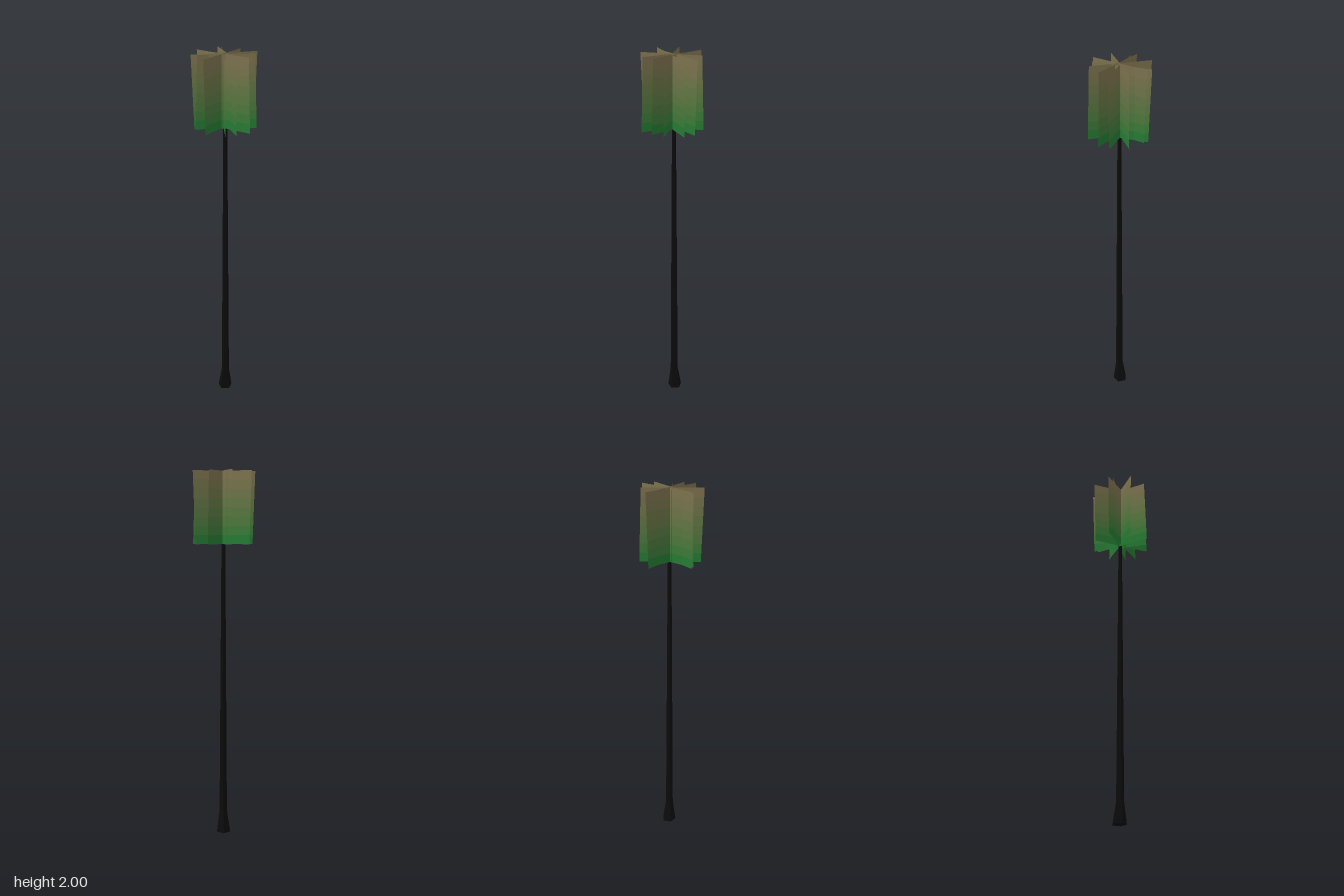
import * as THREE from 'three';

const BOTTOM = 1.615, TOP = 2, BANDS = 8, LEAN = 0.013;

// Each leaf card in plan: [x, z] of the end it leans to, then [x, z] of the other end
const CARDS = [
  [-0.063, -0.161, 0.037, 0.157],
  [0.078, -0.138, -0.106, 0.141],
  [-0.169, 0.045, 0.147, -0.055],
  [-0.153, -0.086, 0.126, 0.1],
  [0.165, 0.048, -0.147, -0.06],
  [0.067, -0.161, -0.04, 0.146],
];

// One horizontal slice of a card, sheared slightly along its own plane
function cardSlice([ax, az, bx, bz], t0, t1) {
  const a = new THREE.Vector3(ax, 0, az), b = new THREE.Vector3(bx, 0, bz);
  const along = a.clone().sub(b).normalize();
  const at = (end, shift, t) =>
    end.clone().addScaledVector(along, shift * LEAN).setY(THREE.MathUtils.lerp(BOTTOM, TOP, t));
  const points = [at(a, t0 - 1, t0), at(b, t0, t0), at(b, t1, t1), at(a, t1 - 1, t1)];
  const geometry = new THREE.BufferGeometry().setFromPoints(points);
  geometry.setIndex([0, 1, 2, 0, 2, 3]);
  geometry.computeVertexNormals();
  return geometry;
}

export function createModel() {
  const model = new THREE.Group();
  model.name = 'tree';

  // Five-sided trunk: flared foot, long taper, tip hidden in the crown
  const bark = new THREE.MeshStandardMaterial({ color: 0x0b0b0b, flatShading: true });
  const trunk = new THREE.Group();
  trunk.name = 'trunk';
  const addSection = (name, y0, y1, r0, r1, x0, z0, x1, z1) => {
    const geometry = new THREE.CylinderGeometry(r1, r0, y1 - y0, 5, 1, false);
    const p = geometry.attributes.position;
    for (let i = 0; i < p.count; i++) {
      const upper = p.getY(i) > 0;
      p.setX(i, p.getX(i) + (upper ? x1 : x0));
      p.setZ(i, p.getZ(i) + (upper ? z1 : z0));
    }
    const mesh = new THREE.Mesh(geometry, bark);
    mesh.name = name;
    mesh.position.y = (y0 + y1) / 2;
    trunk.add(mesh);
  };
  addSection('trunkFoot', 0, 0.12, 0.04, 0.022, 0.003, -0.008, 0.002, -0.004);
  addSection('trunkShaft', 0.12, 1.61, 0.022, 0.011, 0.002, -0.004, 0, -0.003);
  addSection('trunkTip', 1.61, 1.82, 0.011, 0.004, 0, -0.003, 0, -0.003);
  model.add(trunk);

  // Crown of crossed cards, fading from green below to brown above
  const crown = new THREE.Group();
  crown.name = 'crown';
  const low = new THREE.Color(0x107a30), high = new THREE.Color(0x80704f);
  for (let i = 0; i < BANDS; i++) {
    const material = new THREE.MeshStandardMaterial({
      color: low.clone().lerp(high, (i + 0.5) / BANDS),
      side: THREE.DoubleSide,
    });
    for (const card of CARDS) {
      const mesh = new THREE.Mesh(cardSlice(card, i / BANDS, (i + 1) / BANDS), material);
      mesh.name = 'leafCard';
      crown.add(mesh);
    }
  }
  model.add(crown);
  return model;
}
